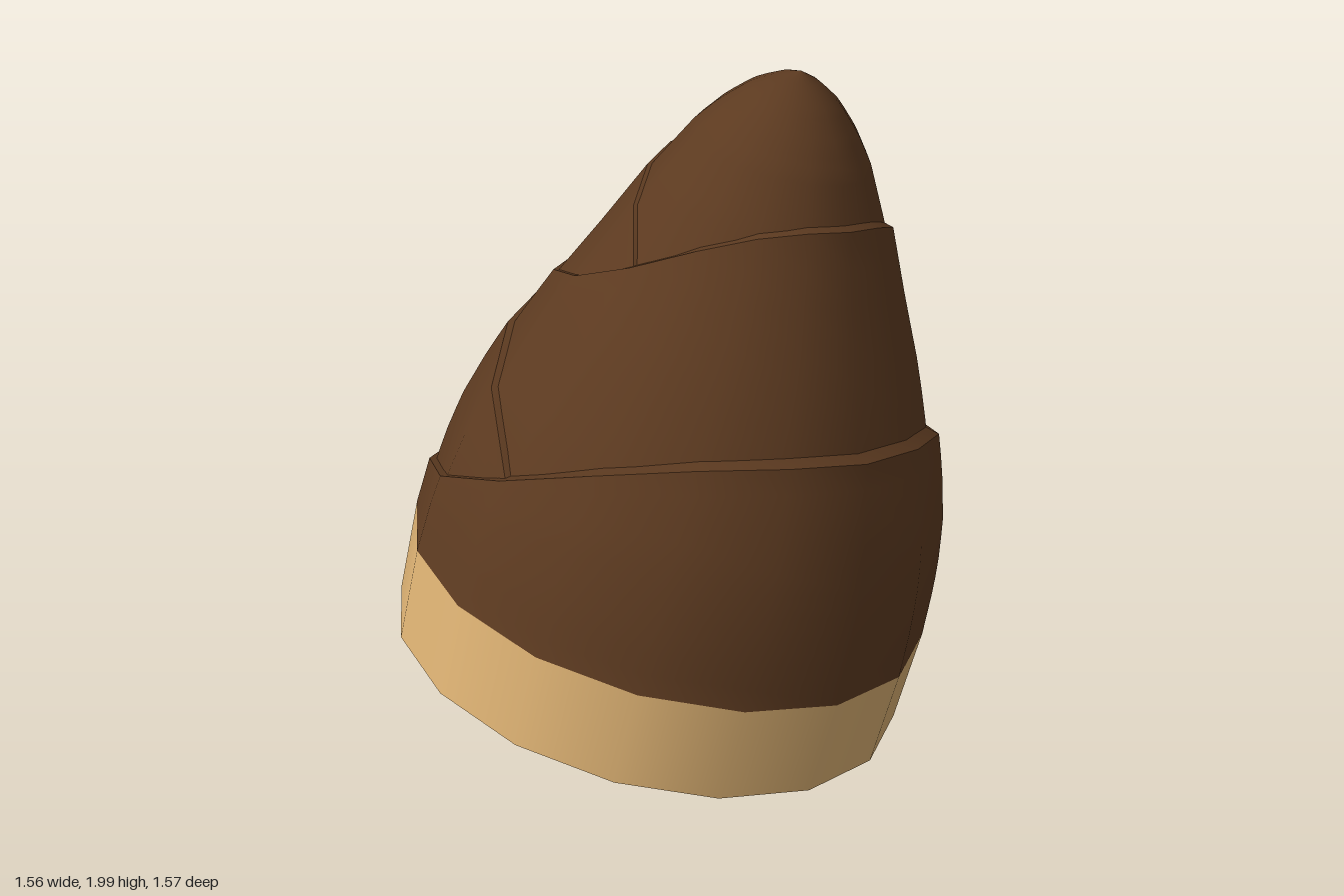
import * as THREE from 'three';

const SIDES = 16;
const chocolate = new THREE.MeshStandardMaterial({ color: 0x5c3a20 });
const biscuit = new THREE.MeshStandardMaterial({ color: 0xdbb072 });

// Outer profile of the chocolate: [height along the axis, radius]
const profile = [
  [0.29, 0.766], [0.45, 0.757], [0.56, 0.744], [0.67, 0.724], [0.82, 0.68], [0.97, 0.625], [1.11, 0.568],
  [1.3, 0.478], [1.5, 0.388], [1.65, 0.31], [1.72, 0.258], [1.79, 0.19], [1.83, 0.13], [1.848, 0.09], [1.856, 0.06],
];

function radiusAt(h) {
  let i = 1;
  while (i < profile.length - 1 && profile[i][0] < h) i++;
  const [h0, r0] = profile[i - 1], [h1, r1] = profile[i];
  return THREE.MathUtils.mapLinear(THREE.MathUtils.clamp(h, profile[0][0], h1), h0, h1, r0, r1);
}

// Smooth ring-by-ring surface; point(row, angle) gives [radius, height]
function ringSurface(rows, point) {
  const pos = [], index = [];
  for (let j = 0; j <= rows; j++) {
    for (let i = 0; i < SIDES; i++) {
      const a = (i / SIDES) * Math.PI * 2;
      const [r, h] = point(j, a);
      pos.push(r * Math.sin(a), h, r * Math.cos(a));
      if (j === rows) continue;
      const k = (i + 1) % SIDES, b = j * SIDES, t = b + SIDES;
      index.push(b + i, b + k, t + i, b + k, t + k, t + i);
    }
  }
  const g = new THREE.BufferGeometry();
  g.setAttribute('position', new THREE.Float32BufferAttribute(pos, 3));
  g.setIndex(index);
  g.computeVertexNormals();
  return g;
}

// One wrapped leaf: a wall whose slanted rim rises on one side, and a narrow ledge on the rim
function leaf(name, { bottom, middle, rise, inset, rows = 10 }) {
  const rim = (a) => {
    const s = Math.sin(a);
    return middle + rise * Math.sign(s) * (1 - Math.pow(1 - Math.abs(s), 1.4));
  };
  const group = new THREE.Group();
  group.name = name;
  const wall = new THREE.Mesh(ringSurface(rows, (j, a) => {
    const h = THREE.MathUtils.lerp(bottom, Math.max(rim(a), bottom), j / rows);
    return [Math.max(radiusAt(h) - inset, 0), h];
  }), chocolate);
  wall.name = name + 'Wall';
  group.add(wall);
  if (rise !== 0) {
    const ledge = new THREE.Mesh(ringSurface(1, (j, a) => {
      const h = rim(a);
      return [radiusAt(h) - inset - j * 0.06, h + j * 0.015];
    }), chocolate);
    ledge.name = name + 'Ledge';
    group.add(ledge);
  }
  return group;
}

export function createModel() {
  const model = new THREE.Group();
  model.name = 'chocolateBiscuit';

  // Everything is built upright, then leaned along one axis
  const body = new THREE.Group();
  body.name = 'leaningBody';
  const axis = new THREE.Vector3(0.141, 0.959, -0.247).normalize();
  const side = new THREE.Vector3(-0.868, 0, -0.496).normalize();
  const low = new THREE.Vector3().crossVectors(side, axis);
  body.quaternion.setFromRotationMatrix(new THREE.Matrix4().makeBasis(side, axis, low));
  body.position.set(-0.02, 0.22, 0.04);
  model.add(body);

  // Biscuit base
  const base = new THREE.Mesh(new THREE.CylinderGeometry(0.766, 0.757, 0.29, SIDES), biscuit);
  base.name = 'biscuitBase';
  base.position.y = 0.145;
  body.add(base);

  // Two pairs of leaves slanting opposite ways, then the rounded tip
  body.add(
    leaf('lowerOuterLeaf', { bottom: 0.29, middle: 0.68, rise: -0.295, inset: 0 }),
    leaf('lowerInnerLeaf', { bottom: 0.3, middle: 0.68, rise: 0.295, inset: 0.02 }),
    leaf('upperOuterLeaf', { bottom: 0.6, middle: 1.3, rise: -0.23, inset: 0.037 }),
    leaf('upperInnerLeaf', { bottom: 1.0, middle: 1.3, rise: 0.23, inset: 0.05 }),
    leaf('tip', { bottom: 1.2, middle: 1.856, rise: 0, inset: 0.06, rows: 32 }),
  );
  return model;
}
